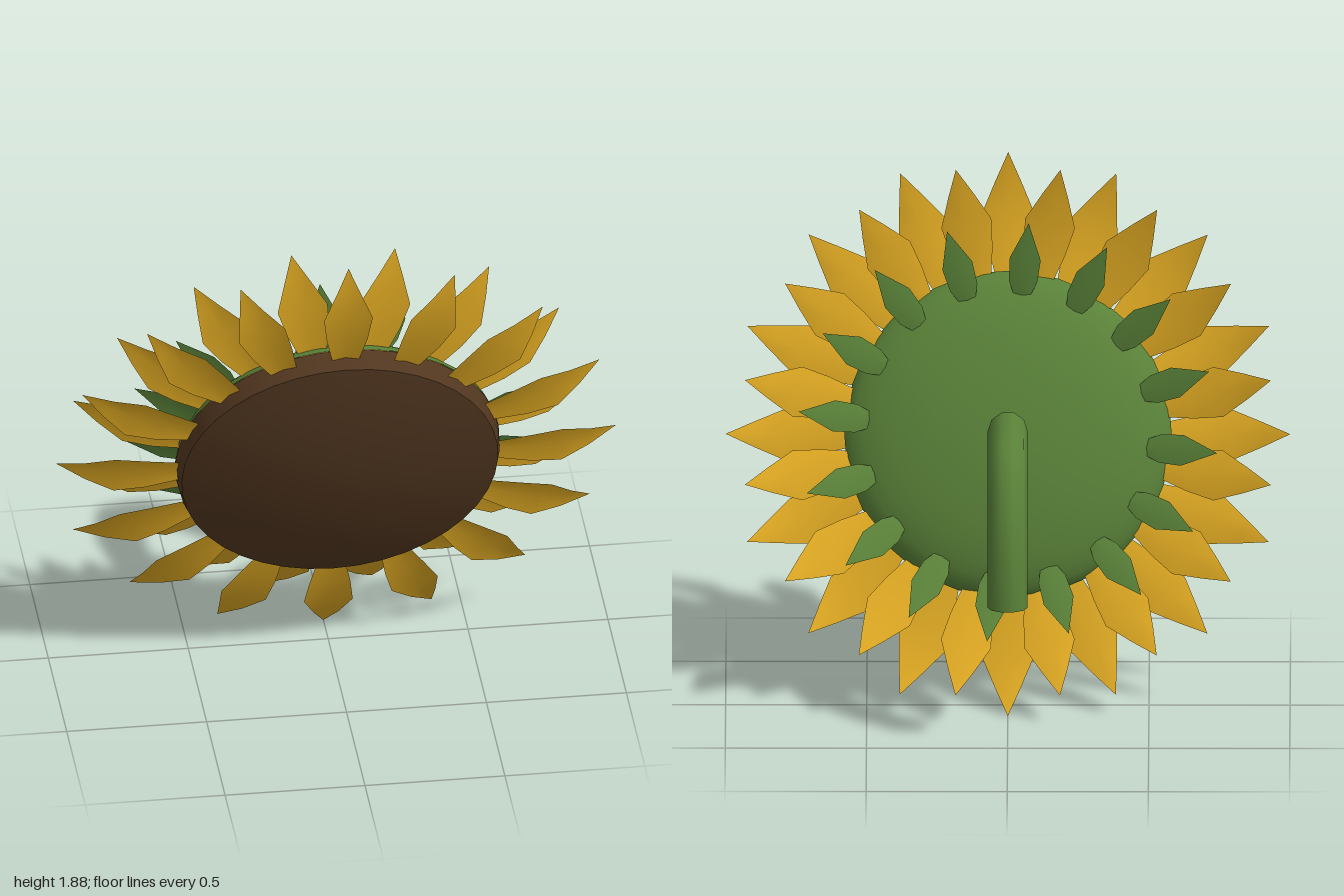
import * as THREE from 'three';

const TILT = THREE.MathUtils.degToRad(20);
const CUP = 0.15; // how far leaf edges rise towards the front, per half width

// Thin cupped leaf lying along +x: rows of [radius, half width, depth], last row is the tip
function leafGeometry(rows) {
  const pos = [], idx = [];
  rows.forEach(([r, w, d], i) => {
    pos.push(r, -w, d + CUP * w, r, 0, d, r, w, d + CUP * w);
    if (i === 0) return;
    const a = 3 * (i - 1);
    for (const k of [a, a + 1]) {
      if (w > 0) idx.push(k, k + 3, k + 1, k + 1, k + 3, k + 4);
      else idx.push(k, a + 4, k + 1);
    }
  });
  const g = new THREE.BufferGeometry();
  g.setAttribute('position', new THREE.Float32BufferAttribute(pos, 3));
  g.setIndex(idx);
  g.computeVertexNormals();
  return g;
}

// Leaves spread evenly around the head
function leafRing(name, geometry, material, count, offset) {
  const ring = new THREE.Group();
  ring.name = name + 'Ring';
  for (let i = 0; i < count; i++) {
    const leaf = new THREE.Mesh(geometry, material);
    leaf.name = name;
    leaf.rotation.z = ((i + offset) / count) * Math.PI * 2;
    ring.add(leaf);
  }
  return ring;
}

// Lathe turned so that its axis is z
function turned(name, profile, material) {
  const g = new THREE.LatheGeometry(profile.map(([r, h]) => new THREE.Vector2(r, h)), 40);
  g.rotateX(Math.PI / 2);
  const mesh = new THREE.Mesh(g, material);
  mesh.name = name;
  return mesh;
}

export function createModel() {
  const yellow = new THREE.MeshStandardMaterial({ color: 0xdca722, side: THREE.DoubleSide });
  yellow.name = 'petal yellow';
  const leafGreen = new THREE.MeshStandardMaterial({ color: 0x5a8239, side: THREE.DoubleSide });
  leafGreen.name = 'stem green';
  const brown = new THREE.MeshStandardMaterial({ color: 0x523720 });
  brown.name = 'seed brown';

  const model = new THREE.Group();
  model.name = 'sunflower';

  // Flower head, nodding forward
  const head = new THREE.Group();
  head.name = 'flowerHead';
  head.position.set(0, 0.905, 0.32);
  head.rotation.x = TILT;
  model.add(head);

  // Seed disc: shallow dome and its rim
  const dome = [], bowl = [];
  for (let i = 0; i <= 8; i++) {
    const r = 0.565 * (1 - i / 8);
    dome.push([r, 0.08 * (1 - (r / 0.565) ** 2)]);
  }
  head.add(turned('seedDisc', dome, brown));
  head.add(turned('seedDiscRim', [[0.578, -0.08], [0.575, -0.035], [0.565, 0]], brown));

  // Green bowl behind the disc
  for (let i = 0; i <= 10; i++) {
    const a = (i / 10) * Math.PI / 2;
    bowl.push([0.58 * Math.sin(a), -0.08 - 0.148 * Math.cos(a)]);
  }
  head.add(turned('calyx', bowl, leafGreen));

  // Two rings of petals and one of sepals
  const front = leafGeometry([[0.52, 0.035, -0.05], [0.58, 0.05, -0.048], [0.69, 0.073, -0.048],
    [0.8, 0.087, -0.056], [0.9, 0.045, -0.077], [1.0, 0, -0.113]]);
  const back = leafGeometry([[0.5, 0.035, -0.09], [0.56, 0.05, -0.105], [0.66, 0.075, -0.13],
    [0.76, 0.09, -0.162], [0.86, 0.045, -0.2], [0.95, 0, -0.245]]);
  const sepal = leafGeometry([[0.49, 0.028, -0.155], [0.54, 0.05, -0.178],
    [0.62, 0.055, -0.21], [0.745, 0, -0.257]]);
  head.add(leafRing('frontPetal', front, yellow, 16, 0));
  head.add(leafRing('backPetal', back, yellow, 16, 0.5));
  head.add(leafRing('sepal', sepal, leafGreen, 16, 0.25));

  // Bent stem with a closed cut end
  const path = new THREE.CatmullRomCurve3([[0.95, 0.2], [0.99, 0.08], [1.07, -0.14], [1.035, -0.315],
    [0.875, -0.425], [0.69, -0.482], [0.525, -0.492]].map(([y, z]) => new THREE.Vector3(0, y, z)));
  const stem = new THREE.Mesh(new THREE.TubeGeometry(path, 6, 0.071, 10), leafGreen);
  stem.name = 'stem';
  const end = new THREE.Mesh(new THREE.CircleGeometry(0.071, 10), leafGreen);
  end.name = 'stemEnd';
  end.position.copy(path.getPoint(1));
  end.lookAt(end.position.clone().add(path.getTangent(1)));
  model.add(stem, end);

  return model;
}
